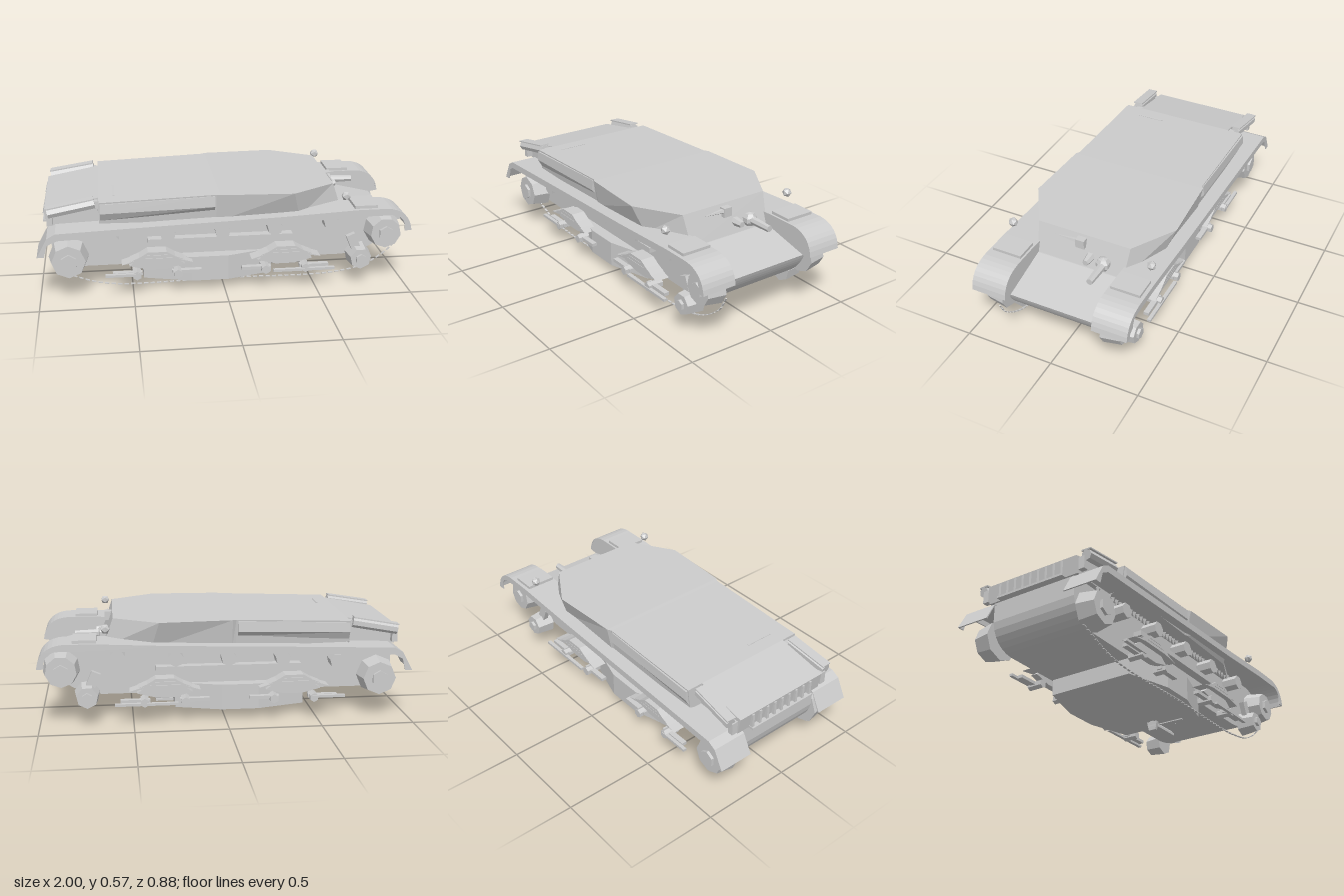
import * as THREE from 'three';

const grey = new THREE.MeshStandardMaterial({ color: 0xcccccc, flatShading: true, side: THREE.DoubleSide });
grey.name = 'primer grey';

function add(parent, name, geometry, x = 0, y = 0, z = 0) {
  const mesh = new THREE.Mesh(geometry, grey);
  mesh.name = name;
  mesh.position.set(x, y, z);
  parent.add(mesh);
  return mesh;
}
const box = (parent, name, w, h, d, x, y, z) => add(parent, name, new THREE.BoxGeometry(w, h, d), x, y, z);

// Cylinder with its axis along z
const disc = (r, width, sides, r2 = r) => new THREE.CylinderGeometry(r, r2, width, sides).rotateX(Math.PI / 2);
// Cylinder with its axis along x
const rod = (r, length, sides, r2 = r) => new THREE.CylinderGeometry(r, r2, length, sides).rotateZ(-Math.PI / 2);

// Side profile in x/y extruded across z from z0 to z1
function slab(points, z0, z1) {
  const shape = new THREE.Shape(points.map(([x, y]) => new THREE.Vector2(x, y)));
  return new THREE.ExtrudeGeometry(shape, { depth: z1 - z0, bevelEnabled: false }).translate(0, 0, z0);
}

// Points along a quadratic curve
const arc = (a, b, c, n) => new THREE.QuadraticBezierCurve(...[a, b, c].map((p) => new THREE.Vector2(...p)))
  .getPoints(n).map((p) => [p.x, p.y]);

// Mirrored four-corner sections, given as [xTop, yTop, zTop, xBottom, yBottom, zBottom]
function loft(sections) {
  const rings = sections.map(([xt, yt, zt, xb, yb, zb]) => [[xt, yt, zt], [xt, yt, -zt], [xb, yb, -zb], [xb, yb, zb]]);
  const out = [];
  const quad = (a, b, c, d) => out.push(...a, ...b, ...c, ...a, ...c, ...d);
  for (let i = 0; i < rings.length - 1; i++) {
    const p = rings[i], q = rings[i + 1];
    for (let k = 0; k < 4; k++) quad(p[k], q[k], q[(k + 1) % 4], p[(k + 1) % 4]);
  }
  quad(...rings[0]);
  quad(...rings[rings.length - 1].slice().reverse());
  const g = new THREE.BufferGeometry();
  g.setAttribute('position', new THREE.Float32BufferAttribute(out, 3));
  g.computeVertexNormals();
  return g;
}

function addBody(root) {
  // Main tub with rounded nose
  add(root, 'lowerHull', slab([
    [-0.93, 0.40], ...arc([-0.93, 0.29], [-0.91, 0.16], [-0.78, 0.15], 6),
    ...arc([0.66, 0.15], [0.88, 0.165], [0.945, 0.34], 16), [0.66, 0.408]], -0.258, 0.258));
  // Deep belly with tapered ends
  add(root, 'belly', loft([
    [-0.44, 0.20, 0.25, -0.44, 0.06, 0.25], [-0.18, 0.20, 0.325, -0.18, 0.06, 0.325],
    [0.02, 0.20, 0.325, 0.02, 0.06, 0.325], [0.27, 0.20, 0.25, 0.27, 0.06, 0.25]]));
  // Fittings on the front face of the belly
  add(root, 'drainBoss', rod(0.036, 0.03, 7, 0.028), 0.275, 0.13, 0.15);
  box(root, 'accessPlate', 0.014, 0.045, 0.07, 0.274, 0.122, -0.16);
  [-1, 1].forEach((s) => box(root, 'towRib', 0.03, 0.085, 0.014, 0.275, 0.107, s * 0.078));
  box(root, 'towPlate', 0.016, 0.055, 0.10, 0.274, 0.115, 0);

  // Upper casemate and sloping engine deck
  add(root, 'superstructure', loft([
    [-0.955, 0.495, 0.285, -0.94, 0.40, 0.285], [-0.67, 0.548, 0.285, -0.67, 0.40, 0.285],
    [-0.67, 0.548, 0.375, -0.67, 0.43, 0.36], [-0.05, 0.57, 0.38, -0.05, 0.42, 0.36],
    [-0.03, 0.571, 0.392, -0.03, 0.42, 0.365], [0.36, 0.57, 0.412, 0.40, 0.42, 0.355],
    [0.60, 0.57, 0.265, 0.655, 0.408, 0.25]]));
  // Side lockers along the engine bay, undercut along the lower edge
  add(root, 'sideLockers', loft([
    [-0.665, 0.54, 0.384, -0.665, 0.49, 0.388], [-0.06, 0.563, 0.384, -0.06, 0.505, 0.388]]));
  add(root, 'lockerUndercut', loft([
    [-0.665, 0.49, 0.388, -0.665, 0.447, 0.364], [-0.06, 0.505, 0.388, -0.06, 0.478, 0.364]]));

  // Skid straddling the front edge of the belly
  box(root, 'skidRail', 0.20, 0.014, 0.05, 0.265, 0.036, 0);
  add(root, 'skidFoot', new THREE.CylinderGeometry(0.046, 0.032, 0.05, 4).rotateY(Math.PI / 4).scale(0.35, 1, 1), 0.175, 0.03, 0);
  add(root, 'skidPin', rod(0.016, 0.2, 8), 0.265, 0.047, 0);
  box(root, 'skidCrossRod', 0.012, 0.006, 0.17, 0.22, 0.053, 0.085);

  // Rear grille
  box(root, 'grilleSill', 0.03, 0.012, 0.42, -0.955, 0.405, 0);
  for (let i = 0; i < 9; i++) box(root, 'grilleSlat', 0.022, 0.085, 0.014, -0.95, 0.445, -0.2 + i * 0.05);

  // Nose fittings
  add(root, 'gunBall', new THREE.SphereGeometry(0.041, 6, 5), 0.65, 0.462, -0.135);
  add(root, 'gunBarrel', rod(0.018, 0.15, 7, 0.024), 0.73, 0.462, -0.137);
  add(root, 'visionPort', rod(0.017, 0.06, 6, 0.026), 0.66, 0.465, -0.052);
  box(root, 'visor', 0.04, 0.05, 0.05, 0.622, 0.532, 0.005);
  add(root, 'visorBar', new THREE.ConeGeometry(0.014, 0.13, 5).rotateX(Math.PI / 2), 0.627, 0.54, 0.09);
  box(root, 'roofSeam', 0.01, 0.004, 0.16, -0.59, 0.551, 0.19);
}

function addSide(root, s) {
  const side = new THREE.Group();
  side.name = s > 0 ? 'leftRunningGear' : 'rightRunningGear';
  root.add(side);
  const span = (pts, a, b) => slab(pts, Math.min(a * s, b * s), Math.max(a * s, b * s));

  // Fender sheet, its outer lip and the closed inner cheek at the nose
  const nose = arc([0.86, 0.473], [0.985, 0.465], [1, 0.345], 8);
  const top = [[-1, 0.283], [-0.945, 0.385], [-0.9, 0.41], [-0.3, 0.432], [0.3, 0.452], [0.7, 0.472], ...nose];
  const inset = (d) => top.map(([x, y], i) => {
    const t = Math.max(0, i - 6) / 8;
    return i === 0 ? [x + d, y] : [x - d * t, y - d * (1 - t)];
  }).reverse();
  add(side, 'fender', span([...top, ...inset(0.008)], 0.245, 0.44));
  add(side, 'fenderLip', span([...top, ...inset(0.038)], 0.434, 0.44));
  add(side, 'innerCheek', span([[0.62, 0.466], [0.7, 0.47], ...nose, [0.94, 0.335], [0.62, 0.40]], 0.246, 0.258));
  box(side, 'fenderHatch', 0.125, 0.016, 0.165, 0.75, 0.481, s * 0.338);

  // Exhaust silencer and lamp
  const silencer = new THREE.Group();
  silencer.name = 'silencer';
  silencer.position.set(-0.815, 0.51, s * 0.328);
  silencer.rotation.set(0, s * 0.05, 0.17);
  side.add(silencer);
  add(silencer, 'silencerBody', rod(0.029, 0.25, 7));
  box(silencer, 'silencerShield', 0.25, 0.007, 0.055, 0, 0.029, 0);
  box(side, 'silencerBracket', 0.03, 0.06, 0.035, -0.69, 0.51, s * 0.305);
  box(side, 'silencerBracket', 0.03, 0.07, 0.035, -0.93, 0.45, s * 0.31);
  add(side, 'lamp', new THREE.IcosahedronGeometry(0.026), 0.64, 0.542, s * 0.40);

  // End wheels with coarse faceted rims
  const wheel = (name, x, y, r, n) => {
    add(side, name, disc(s > 0 ? r * 0.84 : r, 0.10, n, s > 0 ? r : r * 0.84), x, y, s * 0.33);
    add(side, name + 'Hub', disc(r * 0.42, 0.022, 6), x, y, s * 0.385);
  };
  wheel('rearWheel', -0.84, 0.225, 0.108, 8);
  wheel('driveSprocket', 0.878, 0.31, 0.1, 9);
  wheel('tensionWheel', 0.745, 0.165, 0.07, 7);
  box(side, 'tensionArm', 0.05, 0.13, 0.03, 0.72, 0.23, s * 0.32).rotation.z = 0.4;

  // Return rollers
  [[-0.61, 0.32], [-0.31, 0.345], [-0.015, 0.352], [0.27, 0.357], [0.58, 0.372]].forEach(([x, y]) =>
    add(side, 'returnRoller', disc(0.042, 0.09, 7), x, y, s * 0.31));

  // Sprung bogies
  [-0.37, 0.33].forEach((x) => {
    [0, 1, 2].forEach((i) => {
      const w = 0.19 - i * 0.045, y = 0.19 + i * 0.018;
      add(side, 'leafSpring', span([[x - w, y], [x - w * 0.5, y + 0.03], [x + w * 0.5, y + 0.03],
        [x + w, y], [x + w * 0.5, y + 0.014], [x - w * 0.5, y + 0.014]], 0.29, 0.37));
    });
    add(side, 'bogieFrame', span([[x - 0.15, 0.17], [x - 0.06, 0.235], [x + 0.06, 0.235], [x + 0.15, 0.17],
      [x + 0.05, 0.145], [x - 0.05, 0.145]], 0.30, 0.34));
    [-1, 1].forEach((e) => {
      box(side, 'bogieArm', 0.16, 0.018, 0.03, x + e * 0.16, 0.13, s * 0.34);
      add(side, 'axleBoss', disc(0.025, 0.09, 6), x + e * 0.11, 0.125, s * 0.33);
    });
  });
  box(side, 'suspensionBeam', 0.79, 0.028, 0.05, -0.02, 0.292, s * 0.285);
  box(side, 'stepRod', 0.18, 0.014, 0.02, -0.56, 0.132, s * 0.37);
  box(side, 'stepRod', 0.34, 0.014, 0.02, 0.43, 0.118, s * 0.37);

  // Guide teeth hanging below the fender
  for (let i = 0; i < 42; i++) {
    const t = i / 41, tooth = new THREE.ConeGeometry(0.014, 0.036, 4).rotateX(Math.PI);
    add(side, 'guideTooth', tooth, -0.78 + t * 1.34, 0.372 + t * 0.036, s * 0.29);
  }
}

// Thin lower chain of links on the left side only
function addLowerChain(root) {
  const path = new THREE.CatmullRomCurve3([[-0.88, 0.13], [-0.64, 0.056], [0, 0.055], [0.6, 0.056], [0.8, 0.1], [0.94, 0.2], [0.98, 0.27]]
    .map(([x, y]) => new THREE.Vector3(x, y, 0.29)), false, 'centripetal');
  for (let i = 0; i < 56; i++) {
    const p = path.getPointAt(i / 55), d = path.getTangentAt(i / 55);
    box(root, 'chainLink', 0.024, 0.004, 0.012, p.x, p.y, p.z).rotation.z = Math.atan2(d.y, d.x);
  }
}

export function createModel() {
  const root = new THREE.Group();
  root.name = 'armouredHull';
  addBody(root);
  [1, -1].forEach((s) => addSide(root, s));
  addLowerChain(root);
  return root;
}
